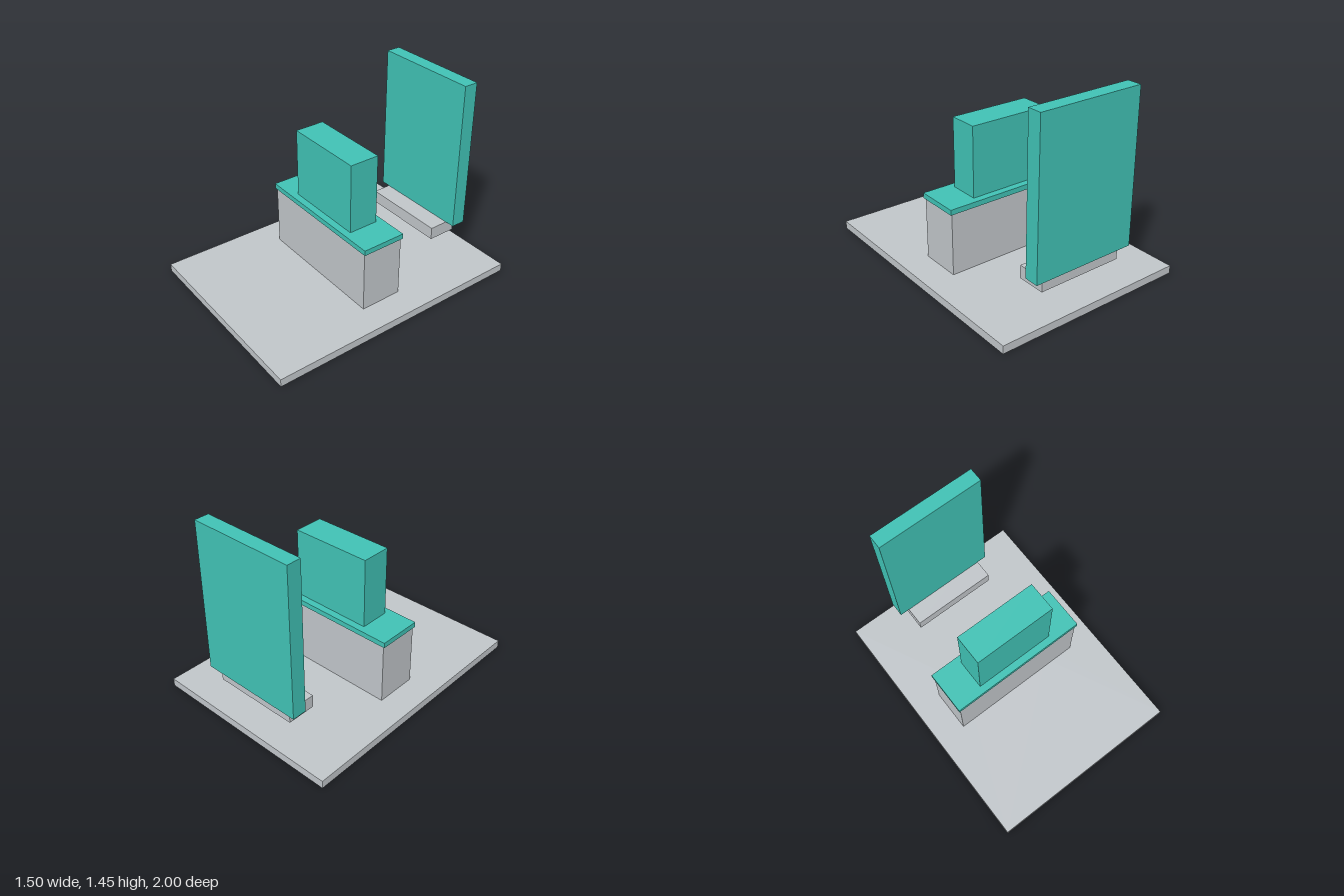
import * as THREE from 'three';

export function createModel() {
  const model = new THREE.Group();
  const grey = new THREE.MeshStandardMaterial({ color: 0xc0c5c9 });
  grey.name = 'light grey';
  const teal = new THREE.MeshStandardMaterial({ color: 0x40c1b4 });
  teal.name = 'teal';

  const add = (name, geometry, material) => {
    const mesh = new THREE.Mesh(geometry, material);
    mesh.name = name;
    model.add(mesh);
    return mesh;
  };

  // Box centred on x, given by its half width and its y and z ranges
  const block = (name, material, halfWidth, [y0, y1], [z0, z1]) =>
    add(name, new THREE.BoxGeometry(halfWidth * 2, y1 - y0, z1 - z0), material)
      .position.set(0, (y0 + y1) / 2, (z0 + z1) / 2);

  const rectangle = (Type, hw, hd) => new Type([
    new THREE.Vector2(-hw, -hd), new THREE.Vector2(hw, -hd),
    new THREE.Vector2(hw, hd), new THREE.Vector2(-hw, hd),
  ]);

  // Floor slab, with a slot through which the upright block reaches the ground
  const coreWidth = 0.315, coreDepth = 0.114;
  const slab = rectangle(THREE.Shape, 0.75, 1);
  slab.holes.push(rectangle(THREE.Path, coreWidth, coreDepth));
  const slabGeometry = new THREE.ExtrudeGeometry(slab, { depth: 0.06, bevelEnabled: false });
  slabGeometry.rotateX(-Math.PI / 2);
  add('floorSlab', slabGeometry, grey);

  // Counter with its top and the upright block running through it
  block('counter', grey, 0.53, [0.06, 0.53], [-0.16, 0.16]);
  block('counterTop', teal, 0.543, [0.53, 0.57], [-0.168, 0.168]);
  block('uprightBlock', teal, coreWidth, [0, 1.1], [-coreDepth, coreDepth]);

  // Raised ledge and the tall panel standing on its rear edge
  block('rearLedge', grey, 0.335, [0.205, 0.302], [-0.868, -0.65]);
  block('rearPanel', teal, 0.41, [0.302, 1.452], [-0.905, -0.795]);

  return model;
}
